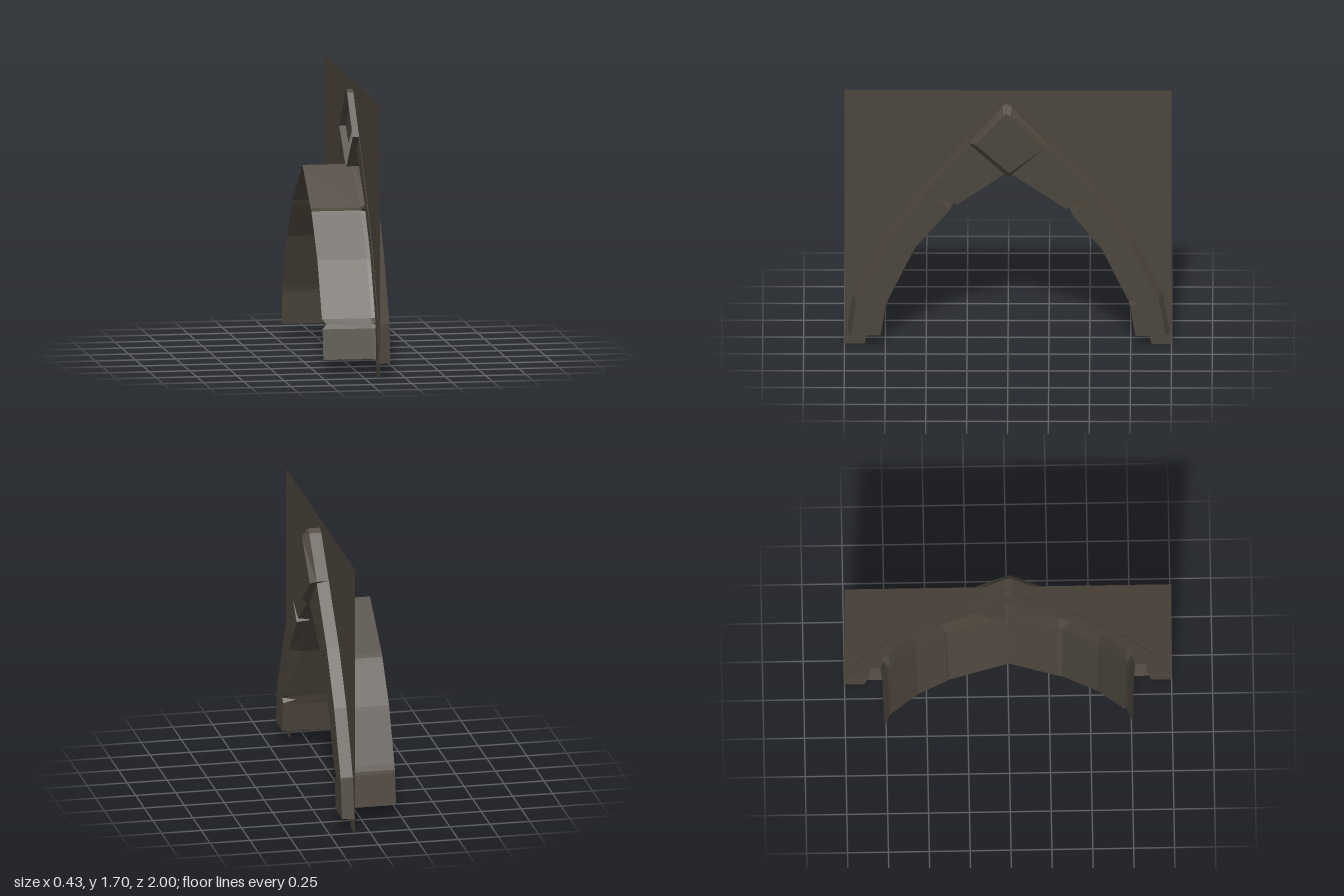
import * as THREE from 'three';

const stone = new THREE.MeshStandardMaterial({ color: 0x4b443b, flatShading: true, side: THREE.DoubleSide });
stone.name = 'dark stone';

const WALL = 0.095, BACK = 0.09, FRONT = 0.167, REAR = -0.215;

function mesh(geometry, name) {
  const m = new THREE.Mesh(geometry, stone);
  m.name = name;
  return m;
}

// Strip of quads between two polylines of [x, y, z] points
function ribbon(a, b, name) {
  const pos = [], index = [];
  a.forEach((p, i) => pos.push(...p, ...b[i]));
  for (let i = 0; i < a.length - 1; i++) {
    const k = i * 2;
    index.push(k, k + 1, k + 2, k + 2, k + 1, k + 3);
  }
  const g = new THREE.BufferGeometry();
  g.setAttribute('position', new THREE.Float32BufferAttribute(pos, 3));
  g.setIndex(index);
  const flat = g.toNonIndexed();
  flat.computeVertexNormals();
  return mesh(flat, name);
}

// Flat plate facing +x, outlined by [z, y] points
function plate(points, x, name) {
  const shape = new THREE.Shape(points.map(([z, y]) => new THREE.Vector2(-z, y)));
  return mesh(new THREE.ShapeGeometry(shape).rotateY(Math.PI / 2).translate(x, 0, 0), name);
}

const at = (points, x) => points.map(([z, y]) => [x, y, z]);

// One side of the arch. Inner rows: [z, y] at the wall, then [z, y] on the front face;
// rows whose front point is pushed far into the band form the chips.
const sides = [
  {
    name: 'Left', s: 1, rearChip: 2,
    outer: [[0.985, 0.085], [0.953, 0.335], [0.74, 0.75], [0.5, 1.09], [0.245, 1.385]],
    inner: [[0.77, 0.085, 0.78, 0.085], [0.74, 0.27, 0.75, 0.275], [0.73, 0.3, 0.77, 0.305],
      [0.72, 0.33, 0.732, 0.33], [0.55, 0.67, 0.57, 0.675], [0.35, 0.92, 0.358, 0.925],
      [0.335, 0.94, 0.46, 1.03], [0.305, 0.955, 0.31, 0.965], [0, 1.18, 0, 1.185]],
  },
  {
    name: 'Right', s: -1, rearChip: -1,
    outer: [[0.99, 0.085], [0.948, 0.345], [0.76, 0.735], [0.545, 1.05], [0.245, 1.385]],
    inner: [[0.77, 0.085, 0.78, 0.085], [0.74, 0.28, 0.748, 0.28], [0.735, 0.3, 0.79, 0.305],
      [0.72, 0.335, 0.73, 0.335], [0.565, 0.66, 0.575, 0.665], [0.39, 0.885, 0.4, 0.89],
      [0.375, 0.91, 0.47, 0.985], [0.35, 0.93, 0.355, 0.938], [0, 1.18, 0, 1.185]],
  },
];

function archSide({ name, s, rearChip, outer, inner }) {
  const g = new THREE.Group();
  g.name = 'arch' + name;
  const outerBack = outer.map(([z, y]) => [s * z, y]);
  const outerFront = outer.map(([z, y], i) => [s * (z - 0.026), i ? y - 0.012 : y]);
  const innerBack = inner.map(([z, y]) => [s * z, y]);
  const innerFront = inner.map(r => [s * r[2], r[3]]);
  const rear = inner.map(([z, y], i) => [i === rearChip ? -0.19 : REAR, y, s * (z && z - 0.01)]);

  g.add(plate([...outerFront, ...innerFront.slice().reverse()], FRONT, 'trimFace'));
  g.add(ribbon(at(outerBack, BACK), at(outerFront, FRONT), 'trimOuterSide'));
  g.add(ribbon(at(innerBack, BACK), at(innerFront, FRONT), 'trimInnerSide'));
  g.add(ribbon(rear, at(innerBack, BACK), 'soffit'));
  // Underside of the trim foot
  g.add(ribbon(at([outerBack[0], innerBack[0]], BACK), at([outerFront[0], innerFront[0]], FRONT), 'trimFoot'));
  return g;
}

function keystone() {
  const g = new THREE.Group();
  g.name = 'keystone';
  const base = [[0.035, 1.625], [0.01, 1.642], [-0.025, 1.62], [-0.245, 1.38], [0, 1.15], [0.245, 1.38]];
  const face = [[0.025, 1.58], [0.01, 1.592], [-0.015, 1.577], [-0.225, 1.365], [-0.01, 1.195], [0.2, 1.385]];
  const loop = p => [...p, p[0]];
  // Hollow block: side walls, bevel and front face
  g.add(ribbon(at(loop(base), 0.055), at(loop(base), 0.17), 'keystoneWalls'));
  g.add(ribbon(at(loop(base), 0.17), at(loop(face), 0.21), 'keystoneBevel'));
  g.add(plate(face, 0.21, 'keystoneFace'));
  return g;
}

export function createModel() {
  const model = new THREE.Group();
  model.name = 'pointedArch';

  // Thin wall panel, its opening hidden behind the trim
  const half = [[0.877, 0], [0.858, 0.085], [0.84, 0.32], [0.65, 0.71], [0.42, 1.02], [0.14, 1.29]];
  const opening = [...half, [0, 1.4], ...half.map(([z, y]) => [-z, y]).reverse()];
  model.add(plate([[1, 0], [1, 1.7], [-1, 1.7], [-1, 0], ...opening.reverse()], WALL, 'wallPanel'));

  sides.forEach(side => model.add(archSide(side)));
  model.add(keystone());
  return model;
}
